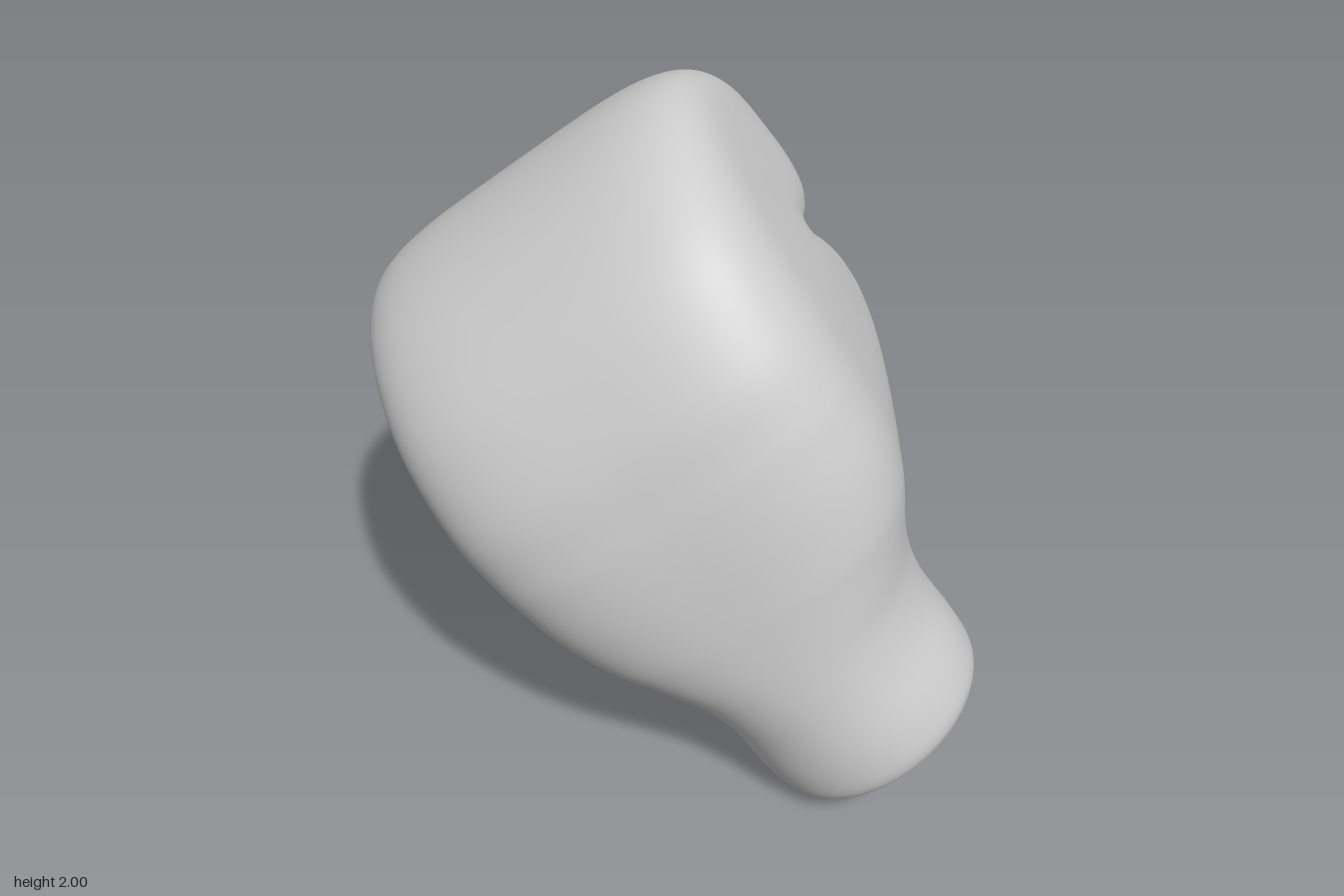
import * as THREE from 'three';

const SEG = 160, STEPS = 5;

// Smooth interpolation through a list of key rows
function interpolate(keys) {
  const rows = [];
  const last = keys.length - 1;
  for (let i = 0; i < last; i++) {
    const a = keys[Math.max(i - 1, 0)], b = keys[i], c = keys[i + 1], d = keys[Math.min(i + 2, last)];
    for (let s = 0; s < STEPS; s++) {
      const t = s / STEPS;
      rows.push(b.map((v, k) => v + 0.5 * t * (c[k] - a[k] +
        t * (2 * a[k] - 5 * v + 4 * c[k] - d[k] + t * (3 * (v - c[k]) + d[k] - a[k])))));
    }
  }
  rows.push(keys[last]);
  return rows;
}

// How far a point at ring coordinate c (0 centre, 1 side) is drawn out into a side flap
const TIP = 0.82;
function flapWeight(c) {
  return c < TIP ? THREE.MathUtils.smoothstep(c, 0.42, TIP)
    : Math.cbrt(Math.max(0, 1 - ((c - TIP) / (1 - TIP)) ** 3));
}

// One point of the skin: superellipse ring, with flaps and a hollow on its back half
function ringPoint([fz, fy, bz, by, w, n, flap = 0, hollow = 0], angle) {
  const p = 2 / n, ca = Math.cos(angle), sa = Math.sin(angle);
  const c = Math.sign(ca) * Math.abs(ca) ** p, s = Math.sign(sa) * Math.abs(sa) ** p;
  const back = s < 0 ? 1 : 0;
  return [
    w * c,
    (fy + by) / 2 + s * (fy - by) / 2 - back * s * hollow * (1 - c * c),
    (fz + bz) / 2 + s * (fz - bz) / 2 - back * flap * flapWeight(Math.abs(c)),
  ];
}

function loft(keys) {
  const pos = [], index = [];
  const rows = interpolate(keys);
  rows.forEach((row, i) => {
    for (let j = 0; j < SEG; j++) {
      pos.push(...ringPoint(row, (j / SEG) * Math.PI * 2));
      if (i === rows.length - 1) continue;
      const q = i * SEG + j, r = i * SEG + (j + 1) % SEG;
      index.push(q, q + SEG, r, r, q + SEG, r + SEG);
    }
  });
  const g = new THREE.BufferGeometry();
  g.setAttribute('position', new THREE.Float32BufferAttribute(pos, 3));
  g.setIndex(index);
  g.computeVertexNormals();
  return g;
}

export function createModel() {
  const model = new THREE.Group();
  model.name = 'mitten';

  // Keys: front z, front y, back z, back y, half width, squareness, flap length, hollow depth
  // Cuff, from the end of its bore out over the rim
  const cuff = [
    [0.5, 0.5, 0.5, 0.5, 0, 2],
    [0.66, 0.42, 0.34, 0.42, 0.16, 2],
    [0.71, 0.2, 0.29, 0.2, 0.21, 2],
    [0.68, -0.02, 0.32, -0.02, 0.18, 2],
    [0.69, -0.14, 0.31, -0.14, 0.195, 2],
    [0.77, -0.23, 0.24, -0.23, 0.27, 2],
    [0.85, -0.19, 0.16, -0.19, 0.35, 2],
    [0.87, -0.08, 0.14, -0.08, 0.37, 2],
    [0.87, 0.1, 0.115, 0.1, 0.37, 2],
  ];
  // Palm with a flap drawn back from either edge
  const palm = [
    [0.87, 0.25, 0.09, 0.23, 0.4, 2.1, 0],
    [0.87, 0.37, 0.075, 0.34, 0.455, 2.3, 0.13],
    [0.87, 0.45, 0.065, 0.405, 0.5, 2.4, 0.34],
    [0.87, 0.52, 0.06, 0.465, 0.535, 2.5, 0.53],
    [0.867, 0.62, 0.05, 0.55, 0.57, 2.6, 0.63],
    [0.862, 0.72, 0.045, 0.64, 0.592, 2.7, 0.65],
    [0.852, 0.83, 0.04, 0.72, 0.605, 2.8, 0.61],
    [0.832, 0.95, 0.02, 0.78, 0.615, 3, 0.52],
    [0.775, 1.16, -0.02, 0.85, 0.625, 3.3, 0.36, 0.02],
  ];
  // Bent-over top
  const top = [
    [0.61, 1.43, -0.09, 0.905, 0.625, 3.8, 0.15, 0.05],
    [0.33, 1.62, -0.18, 0.92, 0.62, 4.5, 0.03, 0.075],
    [0.03, 1.69, -0.28, 0.9, 0.62, 4.8, 0, 0.08],
    [-0.25, 1.64, -0.39, 0.89, 0.615, 4.4, 0, 0.07],
    [-0.5, 1.53, -0.53, 0.905, 0.58, 3.6, 0, 0.04],
    [-0.68, 1.43, -0.67, 0.95, 0.5, 3.1, 0, 0.01],
    [-0.8, 1.34, -0.78, 1.04, 0.39, 2.8],
    [-0.86, 1.26, -0.85, 1.14, 0.21, 2.5],
    [-0.87, 1.2, -0.87, 1.2, 0, 2.4],
  ];
  const keys = [...cuff, ...palm, ...top].map(k => [...k, 0, 0].slice(0, 8));

  const body = new THREE.Mesh(loft(keys),
    new THREE.MeshStandardMaterial({ color: 0xcccccc, side: THREE.DoubleSide }));
  body.name = 'body';

  // Lean of the whole piece
  body.rotation.z = THREE.MathUtils.degToRad(36.5);
  body.position.set(0.5, 0.37, 0);
  model.add(body);
  return model;
}
